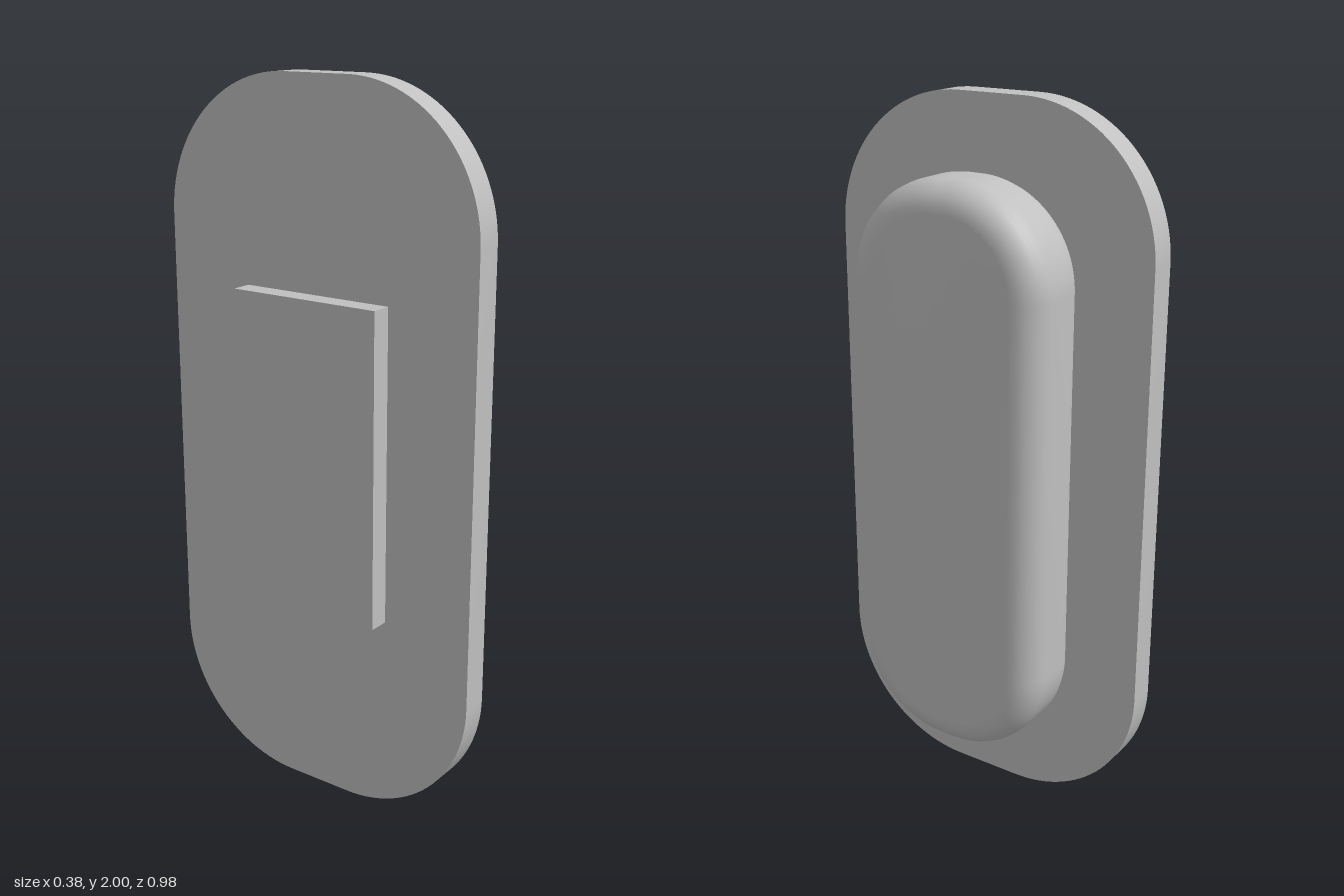
import * as THREE from 'three';
import { toCreasedNormals } from 'three/addons/utils/BufferGeometryUtils.js';

// Rounded rectangle centred on the origin
function roundedRect(halfW, halfH, r) {
  const s = new THREE.Shape();
  s.moveTo(halfW, -halfH + r);
  s.lineTo(halfW, halfH - r);
  s.absarc(halfW - r, halfH - r, r, 0, Math.PI / 2);
  s.absarc(-halfW + r, halfH - r, r, Math.PI / 2, Math.PI);
  s.absarc(-halfW + r, -halfH + r, r, Math.PI, Math.PI * 1.5);
  s.absarc(halfW - r, -halfH + r, r, Math.PI * 1.5, Math.PI * 2);
  return s;
}

// Rounded slab lying in the zy plane, spanning x0 to x1, with optional rounded rims
function slab(halfZ, halfY, radius, x0, x1, rim = 0) {
  const geo = new THREE.ExtrudeGeometry(
    roundedRect(halfZ - rim, halfY - rim, radius - rim),
    {
      depth: x1 - x0 - 2 * rim,
      curveSegments: 14,
      bevelEnabled: rim > 0,
      bevelThickness: rim,
      bevelSize: rim,
      bevelSegments: 6,
    }
  );
  geo.rotateY(Math.PI / 2);
  geo.translate(x0 + rim, 0, 0);
  return toCreasedNormals(geo, 0.6);
}

export function createModel() {
  const model = new THREE.Group();
  model.name = 'model';
  const grey = new THREE.MeshStandardMaterial({ color: 0xc0c0c0 });
  grey.name = 'grey';

  const add = (name, geometry, y) => {
    const mesh = new THREE.Mesh(geometry, grey);
    mesh.name = name;
    mesh.position.y = y;
    model.add(mesh);
    return mesh;
  };

  // Flat base plate with large corner radii
  add('basePlate', slab(0.49, 1, 0.39, -0.13, -0.05), 1);

  // Soft-edged pad on the outer side
  add('pad', slab(0.298, 0.805, 0.28, -0.05, 0.19, 0.08), 1.005);

  // Rectangular mounting block on the back
  add('mountingBlock', new THREE.BoxGeometry(0.06, 0.87, 0.455), 1.005).position.x = -0.16;

  return model;
}
